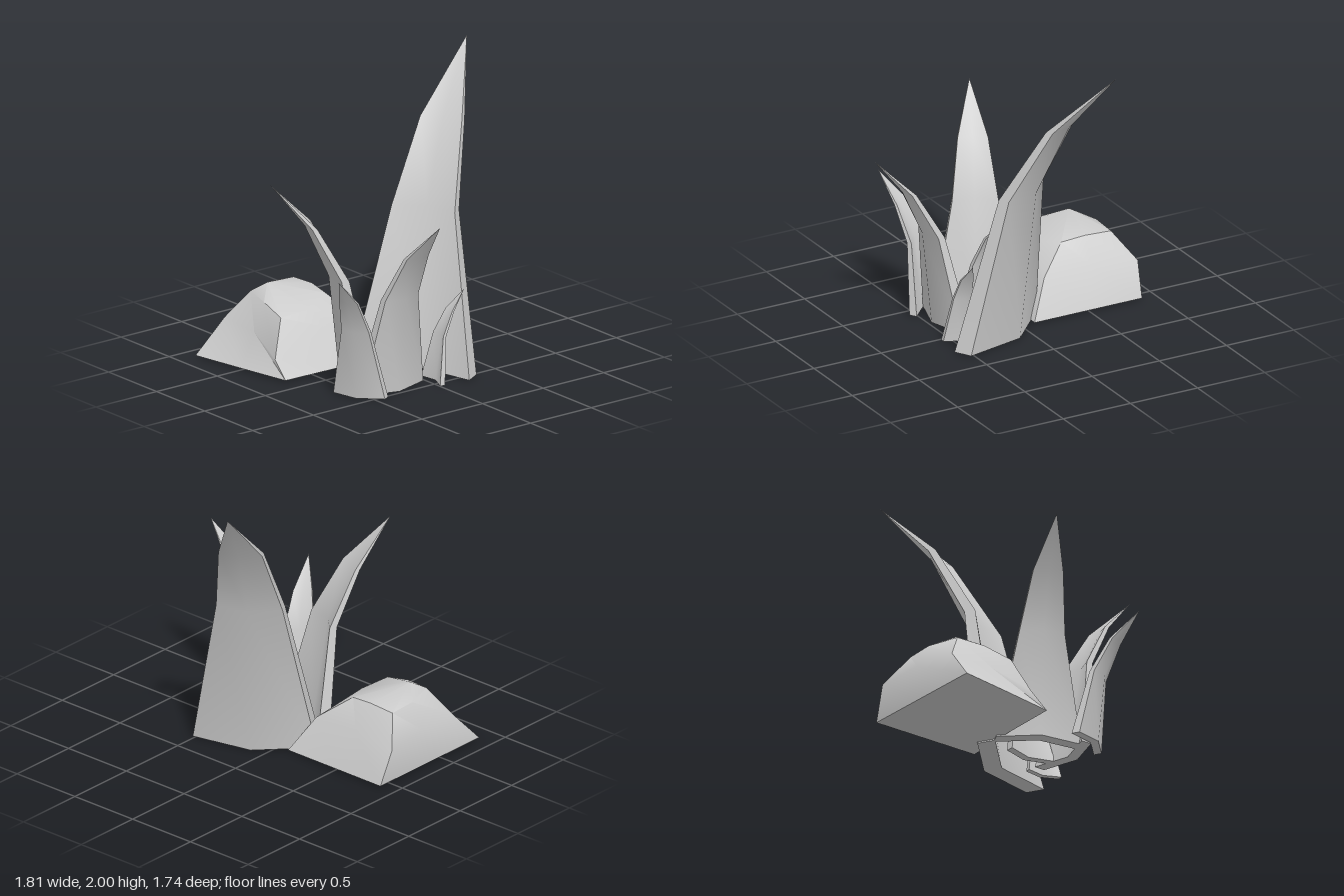
import * as THREE from 'three';
import { toCreasedNormals } from 'three/addons/utils/BufferGeometryUtils.js';

// Closed solid through rings of equal length, with a fan at the bottom and an apex at the top.
function loft(rings, bottom, apex, crease) {
  const n = rings[0].length;
  const pos = [];
  const tri = (a, b, c) => pos.push(...a, ...b, ...c);
  for (let i = 0; i < n; i++) {
    const j = (i + 1) % n;
    tri(rings[0][j], bottom, rings[0][i]);
    for (let r = 0; r < rings.length - 1; r++) {
      const lo = rings[r], hi = rings[r + 1];
      tri(lo[i], hi[i], hi[j]);
      tri(lo[i], hi[j], lo[j]);
    }
    const top = rings[rings.length - 1];
    tri(top[i], apex, top[j]);
  }
  const geo = new THREE.BufferGeometry();
  geo.setAttribute('position', new THREE.Float32BufferAttribute(pos, 3));
  return toCreasedNormals(geo, crease);
}

// Curved pointed blade with a chevron section, bending towards its tip.
function makeBlade(name, base, tip, material) {
  const [tx, height, tz] = tip;
  const dx = tx - base[0], dz = tz - base[1];
  const reach = Math.hypot(dx, dz);
  const k = height / 2;
  // height, outward shift, width, wing thickness, bulge of the spine
  const rows = [
    [0, 0, 0.82, 0.125, 0.25],
    [1.05, 0.22, 0.44, 0.075, 0.15],
    [1.57, 0.53, 0.29, 0.05, 0.09],
  ];
  const rings = rows.map(([y, shift, width, t, b]) => {
    const w = width / 2;
    return [[-w, 0], [0, b - t], [w, 0], [w, t], [0, b], [-w, t]]
      .map(([u, v]) => [u * k, y * k, v * k + shift * reach / 0.98]);
  });
  const mesh = new THREE.Mesh(loft(rings, [0, 0, 0.19 * k], [0, height, reach], 0.8), material);
  mesh.name = name;
  mesh.position.set(base[0], 0, base[1]);
  mesh.rotation.y = Math.atan2(dx, dz);
  return mesh;
}

export function createModel() {
  const group = new THREE.Group();
  group.name = 'plantAndRock';
  const grey = new THREE.MeshStandardMaterial({ color: 0xcccccc });
  grey.name = 'plain grey';

  // Blades: base centre (x, z) and tip (x, y, z)
  const blades = [
    ['tallBackBlade', [0.225, -0.02], [-0.26, 2.0, -0.87]],
    ['frontBlade', [0.13, 0.275], [-0.14, 1.37, 0.85]],
    ['leftBlade', [0.32, 0.265], [0.9, 1.23, 0.27]],
    ['frontLeftSmallBlade', [0.355, 0.48], [0.55, 0.88, 0.83]],
    ['middleSmallBlade', [0.2, 0.16], [0.2, 0.85, -0.22]],
    ['backSmallBlade', [0.435, -0.02], [0.47, 0.59, -0.27]],
  ];
  for (const [name, base, tip] of blades) group.add(makeBlade(name, base, tip, grey));

  // Boulder: ground, shoulder and upper rings
  const rockRings = [
    [[-0.89, 0.01, -0.09], [-0.5, 0.01, -0.09], [-0.09, 0.01, -0.09], [-0.12, 0.01, 0.3],
      [-0.13, 0.01, 0.73], [-0.5, 0.01, 0.8], [-0.89, 0.01, 0.87], [-0.89, 0.01, 0.4]],
    [[-0.91, 0.24, 0.0], [-0.58, 0.27, 0.02], [-0.23, 0.25, 0.03], [-0.21, 0.26, 0.3],
      [-0.25, 0.12, 0.72], [-0.53, 0.22, 0.67], [-0.85, 0.24, 0.66], [-0.88, 0.26, 0.33]],
    [[-0.79, 0.42, 0.14], [-0.6, 0.43, 0.14], [-0.43, 0.41, 0.16], [-0.33, 0.37, 0.36],
      [-0.33, 0.36, 0.61], [-0.53, 0.41, 0.59], [-0.72, 0.43, 0.55], [-0.79, 0.43, 0.33]],
  ];
  const rock = new THREE.Mesh(loft(rockRings, [-0.5, 0.01, 0.35], [-0.66, 0.485, 0.46], 0.7), grey);
  rock.name = 'boulder';
  group.add(rock);

  return group;
}
